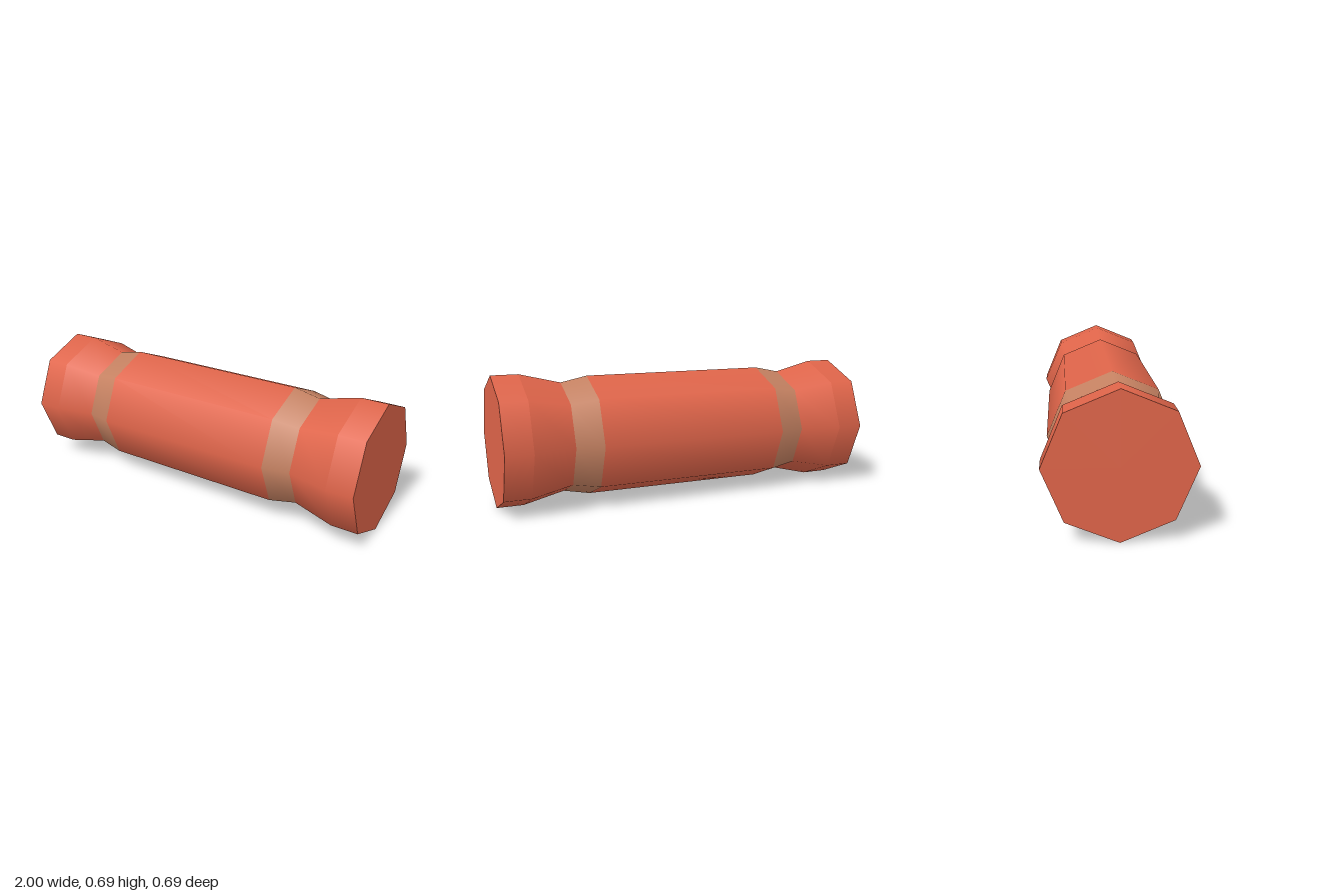
import * as THREE from 'three';

export function createModel() {
  const model = new THREE.Group();
  const red = new THREE.MeshStandardMaterial({ name: 'brick red', color: 0xe0654a });
  const tan = new THREE.MeshStandardMaterial({ name: 'tan', color: 0xc68262 });
  const axisHeight = 0.344;
  const SIDES = 8;

  // Open eight-sided ring along x, from radius r0 at x0 to radius r1 at x1
  function ring(name, x0, r0, x1, r1, material) {
    const geometry = new THREE.CylinderGeometry(r1, r0, x1 - x0, SIDES, 1, true);
    geometry.rotateZ(-Math.PI / 2);
    const mesh = new THREE.Mesh(geometry, material);
    mesh.name = name;
    mesh.position.set((x0 + x1) / 2, axisHeight, 0);
    model.add(mesh);
  }

  ring('barrel', -0.505, 0.32, 0.505, 0.32, red);

  // Mirrored ends: tan band, flared neck, collar and flat cap
  const profile = [
    ['band', 0.505, 0.32, 0.645, 0.291, tan],
    ['neck', 0.645, 0.291, 0.86, 0.344, red],
    ['collar', 0.86, 0.344, 1, 0.344, red],
  ];
  for (const side of [1, -1]) {
    const label = side > 0 ? 'left' : 'right';
    for (const [part, xa, ra, xb, rb, material] of profile) {
      const name = label + part[0].toUpperCase() + part.slice(1);
      if (side > 0) ring(name, xa, ra, xb, rb, material);
      else ring(name, -xb, rb, -xa, ra, material);
    }
    const cap = new THREE.Mesh(new THREE.CircleGeometry(0.344, SIDES), red);
    cap.name = label + 'Cap';
    cap.rotation.y = side * Math.PI / 2;
    cap.position.set(side, axisHeight, 0);
    model.add(cap);
  }
  return model;
}
